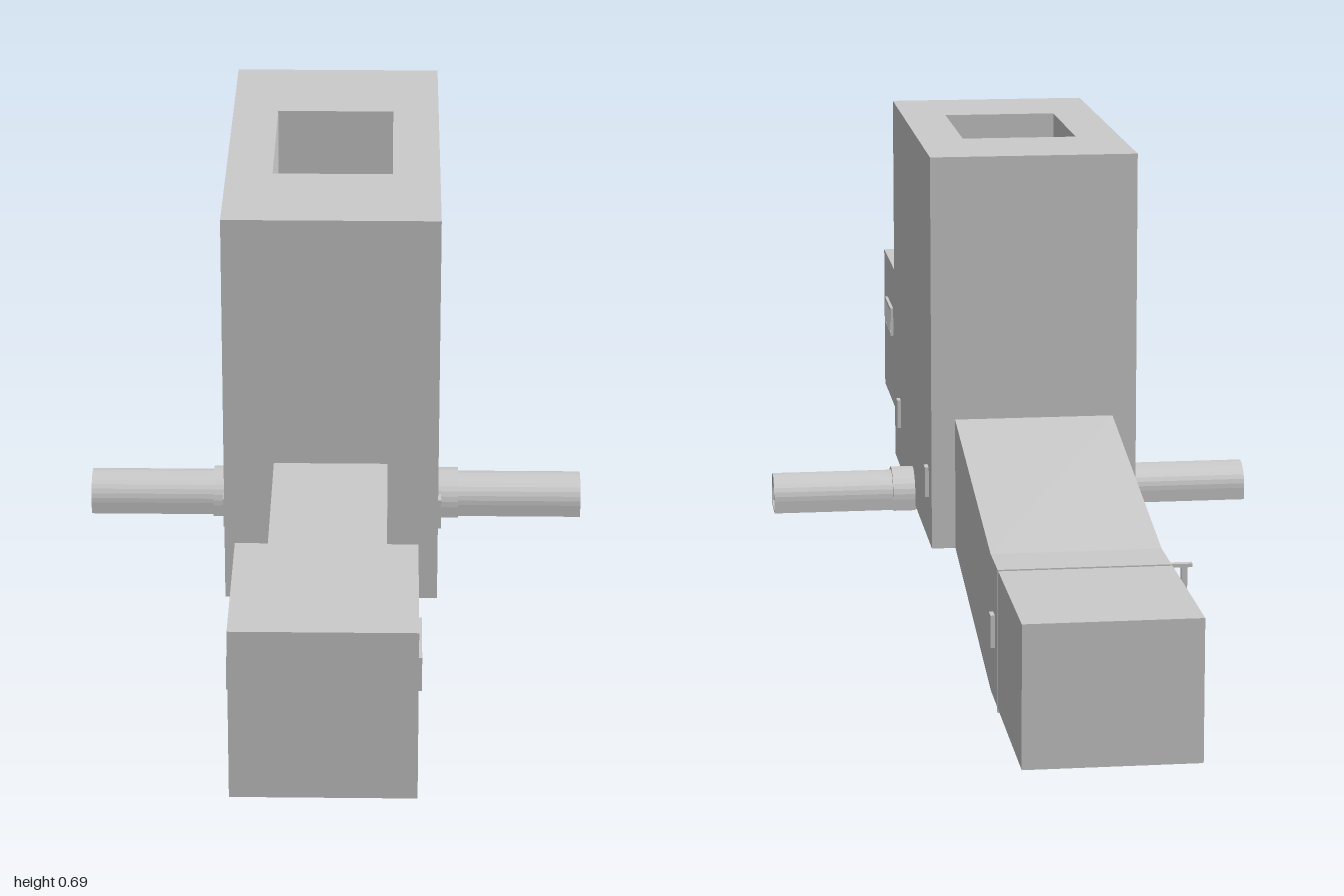
import * as THREE from 'three';

const grey = new THREE.MeshStandardMaterial({ color: 0xcccccc, flatShading: true, side: THREE.DoubleSide });
const smooth = new THREE.MeshStandardMaterial({ color: 0xcccccc, side: THREE.DoubleSide });

export function createModel() {
  const model = new THREE.Group();
  const add = (name, geo, mat = grey) => {
    const m = new THREE.Mesh(geo, mat);
    m.name = name;
    model.add(m);
    return m;
  };
  // Box from its lower and upper limits on each axis
  const box = (name, x0, x1, y0, y1, z0, z1) =>
    add(name, new THREE.BoxGeometry(x1 - x0, y1 - y0, z1 - z0)
      .translate((x0 + x1) / 2, (y0 + y1) / 2, (z0 + z1) / 2));
  // Outline drawn as [z, y] pairs, extruded along x
  const outline = (pts, C = THREE.Shape) => new C(pts.map(([z, y]) => new THREE.Vector2(-z, y)));
  const extrudeX = (name, shape, x0, x1, mat) =>
    add(name, new THREE.ExtrudeGeometry(shape, { depth: x1 - x0, bevelEnabled: false })
      .rotateY(Math.PI / 2).translate(x0, 0, 0), mat);
  const rect = (z0, z1, y0, y1) => [[z0, y0], [z1, y0], [z1, y1], [z0, y1]];
  // Round-topped tunnel section
  const pipeZ = 0.122;
  const arch = (r, y0, top) => {
    const pts = [[pipeZ - r, y0], [pipeZ + r, y0]];
    for (let i = 0; i <= 16; i++) {
      const a = Math.PI * i / 16;
      pts.push([pipeZ + r * Math.cos(a), top - r + r * Math.sin(a)]);
    }
    return pts;
  };

  // Main tower: thick walls around an open shaft, pierced by the drain tunnel
  box('towerFrontWall', -0.158, 0.154, 0.09, 0.69, 0.26, 0.44);
  box('towerBackWall', -0.158, 0.154, 0.09, 0.69, -0.185, 0);
  for (const [x0, x1] of [[-0.158, -0.09], [0.085, 0.154]]) {
    const notch = arch(0.033, 0.09, 0.136);
    extrudeX('towerSideWall', outline([[0, 0.09], notch[0], ...notch.slice(2).reverse(), notch[1],
      [0.26, 0.09], [0.26, 0.69], [0, 0.69]]), x0, x1);
  }
  box('shaftFloor', -0.09, 0.085, 0.086, 0.092, 0, 0.26);

  // Broken slabs on the shaft floor
  const slabs = [
    [[-0.09, 0.06], [-0.08, 0.06], [-0.04, 0.258], [-0.05, 0.258]],
    [[-0.06, 0.01], [-0.05, 0.01], [-0.036, 0.07], [-0.045, 0.07]],
    [[-0.06, 0.09], [-0.05, 0.09], [-0.008, 0.258], [-0.018, 0.258]],
    [[-0.03, 0.1], [-0.02, 0.1], [0.005, 0.2], [-0.005, 0.2]],
    [[-0.01, 0.03], [0.065, 0.05], [0.045, 0.15], [0.005, 0.11]],
    [[0.02, 0.22], [0.084, 0.2], [0.084, 0.25], [0.03, 0.25]],
  ];
  for (const pts of slabs) {
    add('floorSlab', new THREE.ExtrudeGeometry(new THREE.Shape(pts.map(p => new THREE.Vector2(...p))),
      { depth: 0.005, bevelEnabled: false }).rotateX(Math.PI / 2).translate(0, 0.097, 0));
  }

  // Drain tunnels, collars and grates on both sides
  for (const s of [-1, 1]) {
    const span = (a, b) => s > 0 ? [a, b] : [-b, -a];
    const pipe = outline(arch(0.037, 0.083, 0.139));
    pipe.holes.push(outline(arch(0.033, 0.087, 0.135), THREE.Path));
    extrudeX('drainPipe', pipe, ...span(0.154, 0.378), smooth);
    const collar = outline(arch(0.043, 0.083, 0.144));
    collar.holes.push(outline(arch(0.036, 0.085, 0.138), THREE.Path));
    extrudeX('drainCollar', collar, ...span(0.154, 0.189), smooth);
    for (let i = -1; i <= 1; i++) {
      const z = pipeZ + i * 0.016;
      box('grateBar', ...span(0.176, 0.182), 0.085, i ? 0.131 : 0.137, z - 0.0025, z + 0.0025);
    }
  }
  box('drainChannel', -0.378, 0.378, 0.083, 0.087, pipeZ - 0.037, pipeZ + 0.037);

  // Front corridor and hollow front room with barred windows
  box('frontCorridor', -0.085, 0.08, 0.09, 0.31, 0.44, 0.76);
  box('frontRoomFront', -0.128, 0.123, 0.09, 0.34, 0.985, 1);
  box('frontRoomBack', -0.128, 0.123, 0.09, 0.34, 0.75, 0.765);
  box('frontRoomRoof', -0.116, 0.111, 0.325, 0.34, 0.765, 0.985);
  box('frontRoomFloor', -0.116, 0.111, 0.09, 0.105, 0.765, 0.985);
  for (const [x0, x1, f0, f1] of [[-0.128, -0.116, -0.133, -0.126], [0.111, 0.123, 0.121, 0.128]]) {
    const wall = outline(rect(0.765, 0.985, 0.09, 0.34));
    wall.holes.push(outline(rect(0.823, 0.929, 0.218, 0.262), THREE.Path));
    extrudeX('frontRoomSide', wall, x0, x1);
    const frame = outline(rect(0.82, 0.932, 0.215, 0.265));
    frame.holes.push(outline(rect(0.825, 0.927, 0.22, 0.26), THREE.Path));
    extrudeX('windowFrame', frame, f0, f1);
    for (let i = 1; i < 5; i++) {
      const z = 0.825 + i * 0.0204;
      box('windowBar', f0, f1, 0.22, 0.26, z - 0.003, z + 0.003);
    }
  }

  // Front gate in its slot, with projecting rails
  box('frontGate', -0.087, 0.083, 0.088, 0.312, 0.702, 0.708);
  for (const y of [0.09, 0.304]) box('frontGateRail', -0.087, 0.115, y, y + 0.006, 0.7, 0.71);
  box('frontGateRod', 0.094, 0.1, 0.09, 0.31, 0.702, 0.708);

  // Back corridor sloping down to the back room
  extrudeX('backCorridor', outline([[-0.185, 0.09], [-0.185, 0.29], [-0.65, 0.205],
    [-1, 0.205], [-1, 0.008], [-0.65, 0.008]]), -0.122, 0.118);
  box('backGate', -0.125, 0.119, 0.006, 0.207, -0.739, -0.733);
  for (const y of [0.004, 0.202]) box('backGateRail', -0.15, 0.119, y, y + 0.005, -0.741, -0.731);
  box('backGateRod', -0.143, -0.135, 0.004, 0.205, -0.74, -0.732);

  // Low step and studs beneath the back room
  box('underStep', -0.125, -0.08, 0, 0.009, -0.93, -0.79);

  // Small wall lamps on both sides: [z, y, left x, right x]
  for (const [z, y, xl, xr] of [[0.34, 0.16, 0.154, -0.158], [-0.13, 0.16, 0.154, -0.158],
    [0.56, 0.16, 0.08, -0.085], [-0.69, 0.085, 0.118, -0.122]]) {
    box('wallLamp', xl - 0.002, xl + 0.006, y, y + 0.046, z - 0.011, z + 0.011);
    box('wallLamp', xr - 0.006, xr + 0.002, y, y + 0.046, z - 0.011, z + 0.011);
  }
  box('wallPeg', -0.167, -0.156, 0.37, 0.375, -0.035, -0.005);

  return model;
}
